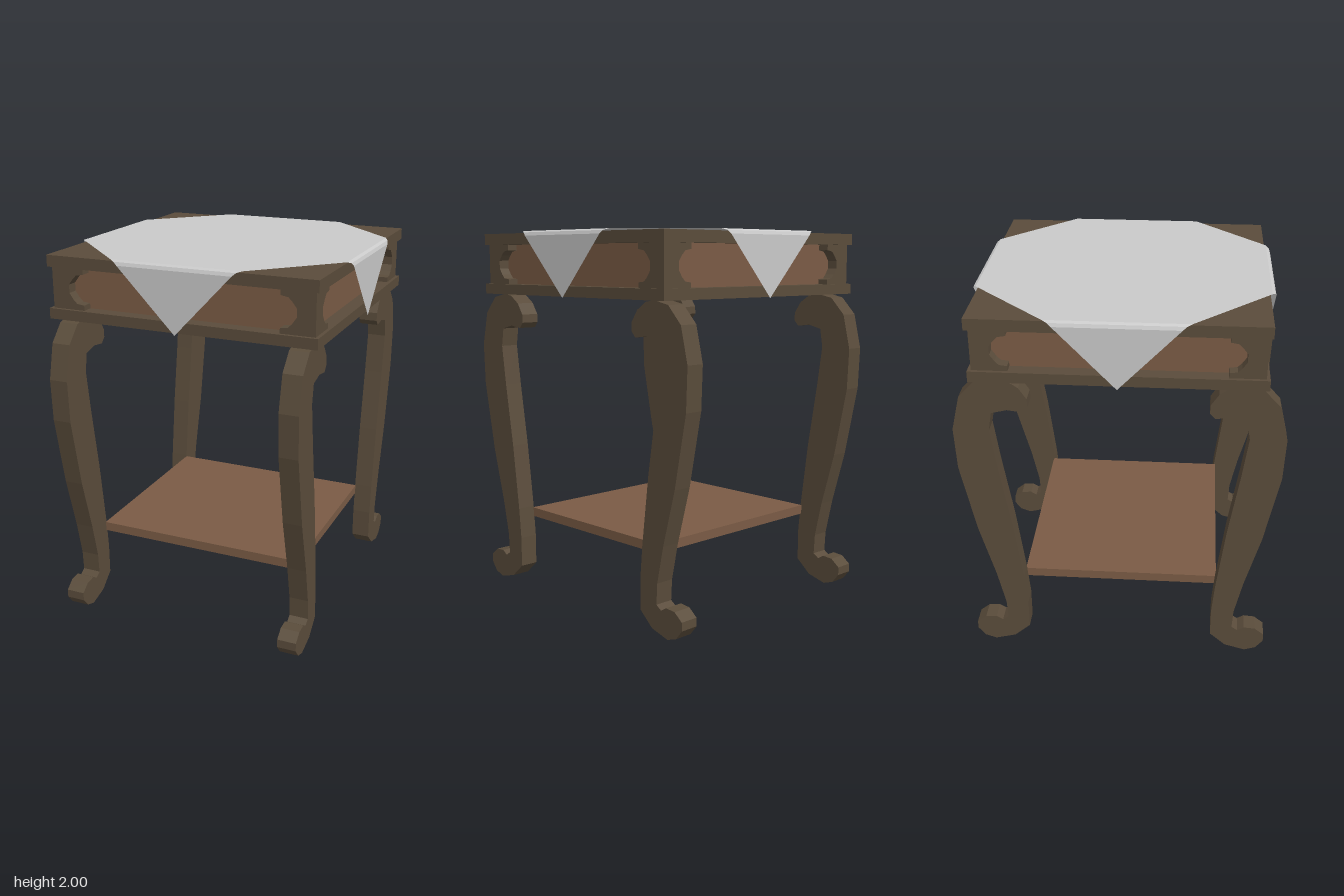
import * as THREE from 'three';

export function createModel() {
  const root = new THREE.Group();
  root.name = 'sideTable';

  const darkWood = new THREE.MeshStandardMaterial({ color: 0x5a4c3b });
  darkWood.name = 'dark wood';
  const warmWood = new THREE.MeshStandardMaterial({ color: 0x7a5b45 });
  warmWood.name = 'warm wood';
  const linen = new THREE.MeshStandardMaterial({ color: 0xcacaca, side: THREE.DoubleSide });
  linen.name = 'linen';

  const add = (name, geometry, material) => {
    const mesh = new THREE.Mesh(geometry, material);
    mesh.name = name;
    root.add(mesh);
    return mesh;
  };
  const slab = (name, w, d, y0, y1, material) =>
    add(name, new THREE.BoxGeometry(w, y1 - y0, d), material).position.set(0, (y0 + y1) / 2, 0);
  const polygon = (points) => new THREE.Shape(points.map(([x, y]) => new THREE.Vector2(x, y)));

  // Top, lower moulding, inset panel core and shelf
  slab('tableTop', 1.452, 1.452, 1.93, 1.99, darkWood);
  slab('lowerMoulding', 1.452, 1.452, 1.66, 1.715, darkWood);
  slab('insetPanels', 1.3, 1.3, 1.715, 1.93, warmWood);
  slab('shelf', 1.16, 1.05, 0.38, 0.43, warmWood);

  // Apron frame: a scooped end plate at both ends of all four sides
  const scoop = [
    [0.53, 1.93], [0.53, 1.9], [0.57, 1.893], [0.59, 1.873], [0.613, 1.843],
    [0.613, 1.8], [0.59, 1.767], [0.57, 1.747], [0.53, 1.742], [0.53, 1.715],
  ];
  for (let side = 0; side < 4; side++) {
    const end = side % 2 ? 0.65 : 0.708; // side plates butt against front and back
    for (const s of [1, -1]) {
      const outline = [...scoop, [end, 1.715], [end, 1.93]].map(([x, y]) => [x * s, y]);
      const geometry = new THREE.ExtrudeGeometry(polygon(outline), { depth: 0.058, bevelEnabled: false });
      geometry.translate(0, 0, 0.65);
      geometry.rotateY(side * Math.PI / 2);
      add('apronEnd', geometry, darkWood);
    }
  }

  // Cabriole legs: side profile as [z, y], extruded across x
  const profile = [
    [0.61, 1.66], [0.705, 1.64], [0.79, 1.55], [0.834, 1.365], [0.825, 1.14], [0.75, 0.76],
    [0.67, 0.465], [0.628, 0.27], [0.622, 0.16], [0.655, 0.138], [0.69, 0.16], [0.75, 0.155],
    [0.8, 0.115], [0.8, 0.07], [0.76, 0.02], [0.7, 0], [0.59, 0.03], [0.505, 0.105],
    [0.505, 0.27], [0.52, 0.44], [0.565, 0.8], [0.62, 1.145], [0.65, 1.365], [0.633, 1.465],
    [0.553, 1.485], [0.475, 1.475], [0.448, 1.505], [0.45, 1.55], [0.49, 1.61], [0.55, 1.65],
  ];
  for (const front of [1, -1]) {
    const shape = polygon(profile.map(([z, y]) => [-z * front, y]));
    for (const x of [-0.629, 0.629]) {
      const geometry = new THREE.ExtrudeGeometry(shape, { depth: 0.102, bevelEnabled: false });
      geometry.translate(0, 0, -0.051);
      geometry.rotateY(Math.PI / 2); // shape x becomes -z, depth becomes x
      geometry.translate(x, 0, 0);
      add(front > 0 ? 'frontLeg' : 'backLeg', geometry, darkWood);
    }
  }

  // Cloth laid cornerwise: flat octagon with four hanging points
  const rows = [ // half width, height, distance from centre
    [0.35, 2, 0.735], [0.325, 1.992, 0.75], [0.305, 1.975, 0.757], [0, 1.655, 0.752],
  ];
  const up = new THREE.Vector3(0, 1, 0);
  const corner = (side, row, s) => {
    const [w, y, d] = rows[row];
    return new THREE.Vector3(w * s, y, d).applyAxisAngle(up, side * Math.PI / 2);
  };
  const centre = new THREE.Vector3(0, 2, 0);
  const points = [];
  for (let k = 0; k < 4; k++) {
    points.push(centre, corner(k, 0, -1), corner(k, 0, 1));
    points.push(centre, corner(k, 0, 1), corner(k + 1, 0, -1));
    for (let r = 0; r < 3; r++) {
      points.push(corner(k, r, -1), corner(k, r + 1, -1), corner(k, r, 1));
      if (r < 2) points.push(corner(k, r + 1, -1), corner(k, r + 1, 1), corner(k, r, 1));
    }
  }
  const cloth = new THREE.BufferGeometry().setFromPoints(points);
  cloth.computeVertexNormals();
  add('cloth', cloth, linen);

  return root;
}
